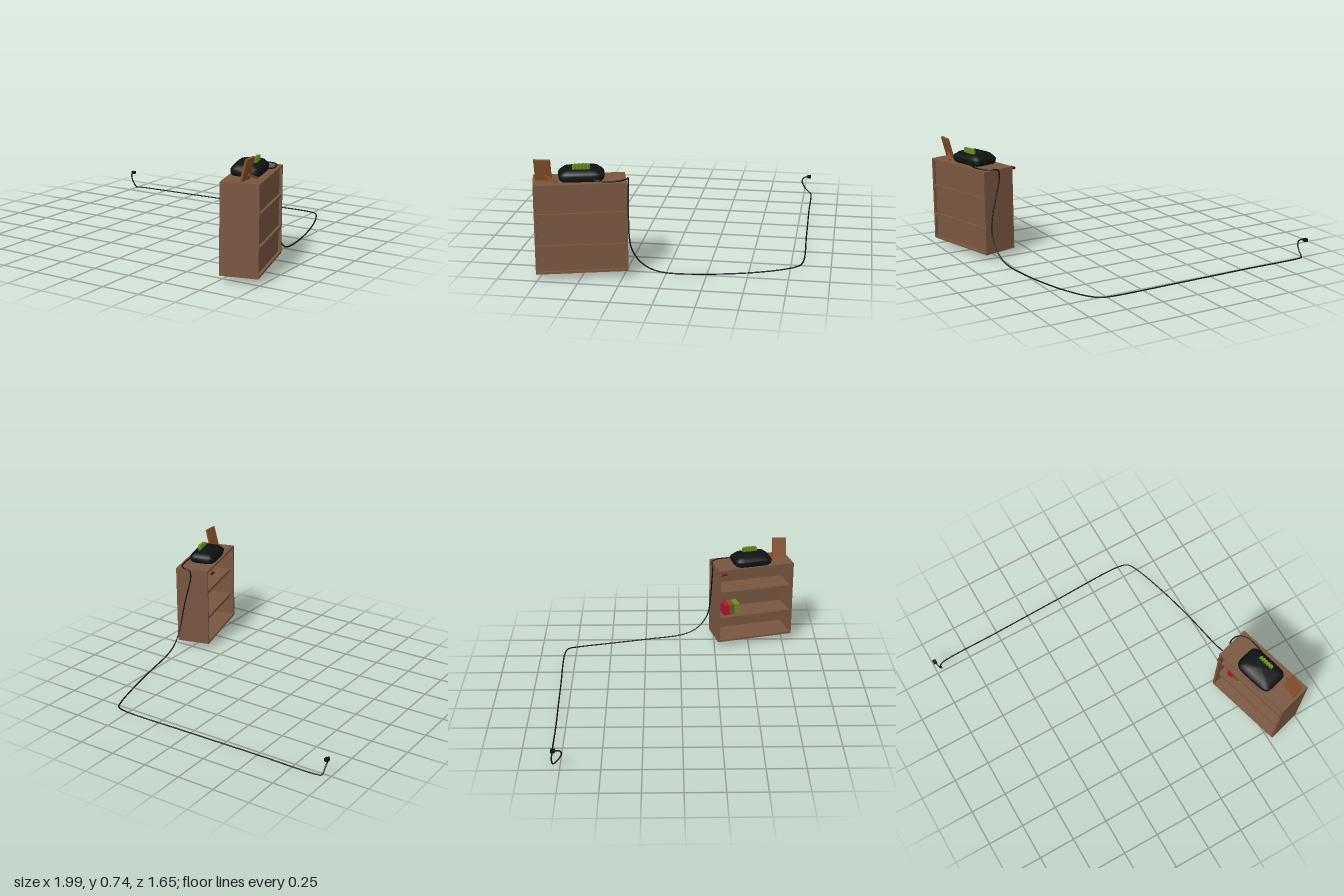
import * as THREE from 'three';

const mat = (name, color, side = THREE.FrontSide) => {
  const m = new THREE.MeshStandardMaterial({ color, side });
  m.name = name;
  return m;
};

export function createModel() {
  const wood = mat('brown wood', 0x7a5640);
  const black = mat('black plastic', 0x101112, THREE.DoubleSide);
  const green = mat('green', 0x6b8e1a);
  const olive = mat('olive', 0x6a5a28);
  const red = mat('red', 0xb3122c);
  const maroon = mat('maroon', 0x6e1424);
  const amber = mat('amber wood', 0x86502a);

  const model = new THREE.Group();
  const add = (parent, name, geo, material, x = 0, y = 0, z = 0) => {
    const m = new THREE.Mesh(geo, material);
    m.name = name;
    m.position.set(x, y, z);
    parent.add(m);
    return m;
  };
  const box = (parent, name, material, w, h, d, x, y, z) =>
    add(parent, name, new THREE.BoxGeometry(w, h, d), material, x, y, z);

  // Bookcase, turned 15 degrees, open towards its own -x
  const cabinet = new THREE.Group();
  cabinet.name = 'bookcase';
  cabinet.position.set(0.808, 0, 0.517);
  cabinet.rotation.y = 0.262;
  model.add(cabinet);
  const W = 0.236, L = 0.56, T = 0.014;
  for (const s of [-1, 1]) box(cabinet, 'endPanel', wood, W, 0.56, T, 0, 0.32, s * (L - T) / 2);
  box(cabinet, 'topPanel', wood, W, T, L - 2 * T, 0, 0.6 - T / 2, 0);
  box(cabinet, 'bottomPanel', wood, W, T, L - 2 * T, 0, 0.04 + T / 2, 0);
  box(cabinet, 'backPanel', wood, 0.01, 0.56 - 2 * T, L - 2 * T, 0.096, 0.32, 0);
  for (const y of [0.21, 0.41]) box(cabinet, 'shelf', wood, 0.21, 0.02, L - 2 * T, 0.012, y, 0);

  // Books standing on the lower shelf
  [[red, 0.075], [olive, 0.072], [green, 0.07]].forEach(([m, h], i) =>
    box(cabinet, 'book', m, 0.09, h, 0.04, -0.012 + i * 0.008, 0.22 + h / 2, -0.2 + i * 0.042));

  // Small knob beside the open side
  const knob = add(cabinet, 'knob', new THREE.CylinderGeometry(0.01, 0.01, 0.035, 10), maroon, -0.145, 0.582, -0.25);
  knob.rotation.x = Math.PI / 2;

  // Appliance body: a lathe squared off into a rounded rectangle
  const profile = [[0, 0], [0.9, 0], [0.97, 0.01], [1, 0.035], [0.94, 0.046], [0.74, 0.068], [0, 0.07]]
    .map(([r, y]) => new THREE.Vector2(r, y));
  const bodyGeo = new THREE.LatheGeometry(profile, 32);
  const p = bodyGeo.attributes.position;
  const squash = v => Math.sign(v) * Math.pow(Math.abs(v), 0.4);
  for (let i = 0; i < p.count; i++) {
    const x = p.getX(i), z = p.getZ(i), r = Math.hypot(x, z);
    if (r > 1e-6) {
      p.setX(i, squash(x / r) * r * 0.096);
      p.setZ(i, squash(z / r) * r * 0.14);
    }
  }
  bodyGeo.computeVertexNormals();
  add(cabinet, 'applianceBody', bodyGeo, black, -0.0175, 0.6, -0.012);

  // Zigzag green ridge on the appliance
  const ridge = new THREE.Shape();
  const n = 10, at = i => -0.053 + 0.106 * i / n;
  ridge.moveTo(-0.011, at(0));
  for (let i = 0; i <= n; i++) ridge.lineTo(0.006 + (i % 2 ? 0.005 : -0.002), at(i));
  for (let i = n; i > 0; i--) ridge.lineTo(-0.006 + (i % 2 ? 0.003 : -0.004), at(i));
  const ridgeGeo = new THREE.ExtrudeGeometry(ridge, { depth: 0.036, bevelEnabled: false });
  ridgeGeo.rotateX(-Math.PI / 2);
  // Lower the two ends of the top edge
  const q = ridgeGeo.attributes.position;
  for (let i = 0; i < q.count; i++)
    if (q.getY(i) > 0.02 && Math.abs(q.getZ(i)) > 0.04) q.setY(i, 0.036 - (Math.abs(q.getZ(i)) - 0.04) * 0.6);
  ridgeGeo.computeVertexNormals();
  add(cabinet, 'greenRidge', ridgeGeo, green, 0.024, 0.667, -0.011);

  // Leaning picture frame with its prop
  const frame = box(model, 'pictureFrame', amber, 0.014, 0.138, 0.1, 0.893, 0.672, 0.72);
  frame.rotation.set(0, 0.04, -0.25);
  const a = new THREE.Vector3(0.89, 0.638, 0.71), b = new THREE.Vector3(0.912, 0.604, 0.635);
  const prop = box(model, 'frameProp', amber, 0.012, 0.014, a.distanceTo(b), 0, 0, 0);
  prop.position.copy(a).add(b).multiplyScalar(0.5);
  prop.lookAt(b);

  // Power cord from the appliance, down the bookcase and along the floor
  const cord = new THREE.CatmullRomCurve3([
    [0.865, 0.615, 0.42], [0.86, 0.606, 0.35], [0.835, 0.606, 0.27], [0.79, 0.606, 0.232],
    [0.745, 0.6, 0.232], [0.735, 0.56, 0.234], [0.755, 0.46, 0.23], [0.785, 0.35, 0.225],
    [0.805, 0.25, 0.218], [0.812, 0.18, 0.205], [0.81, 0.1, 0.16], [0.8, 0.045, 0.09],
    [0.788, 0.018, 0], [0.745, 0.006, -0.25], [0.68, 0.006, -0.52], [0.61, 0.016, -0.73],
    [0.565, 0.024, -0.805], [0.5, 0.025, -0.825], [0, 0.023, -0.82], [-0.5, 0.021, -0.81],
    [-0.93, 0.018, -0.802], [-0.958, 0.018, -0.79], [-0.962, 0.055, -0.755], [-0.968, 0.1, -0.735],
    [-0.98, 0.126, -0.75], [-0.987, 0.13, -0.78],
  ].map(v => new THREE.Vector3(...v)), false, 'centripetal');
  add(model, 'powerCord', new THREE.TubeGeometry(cord, 400, 0.0045, 8), black);
  box(model, 'plug', black, 0.024, 0.02, 0.026, -0.988, 0.13, -0.786);

  return model;
}
